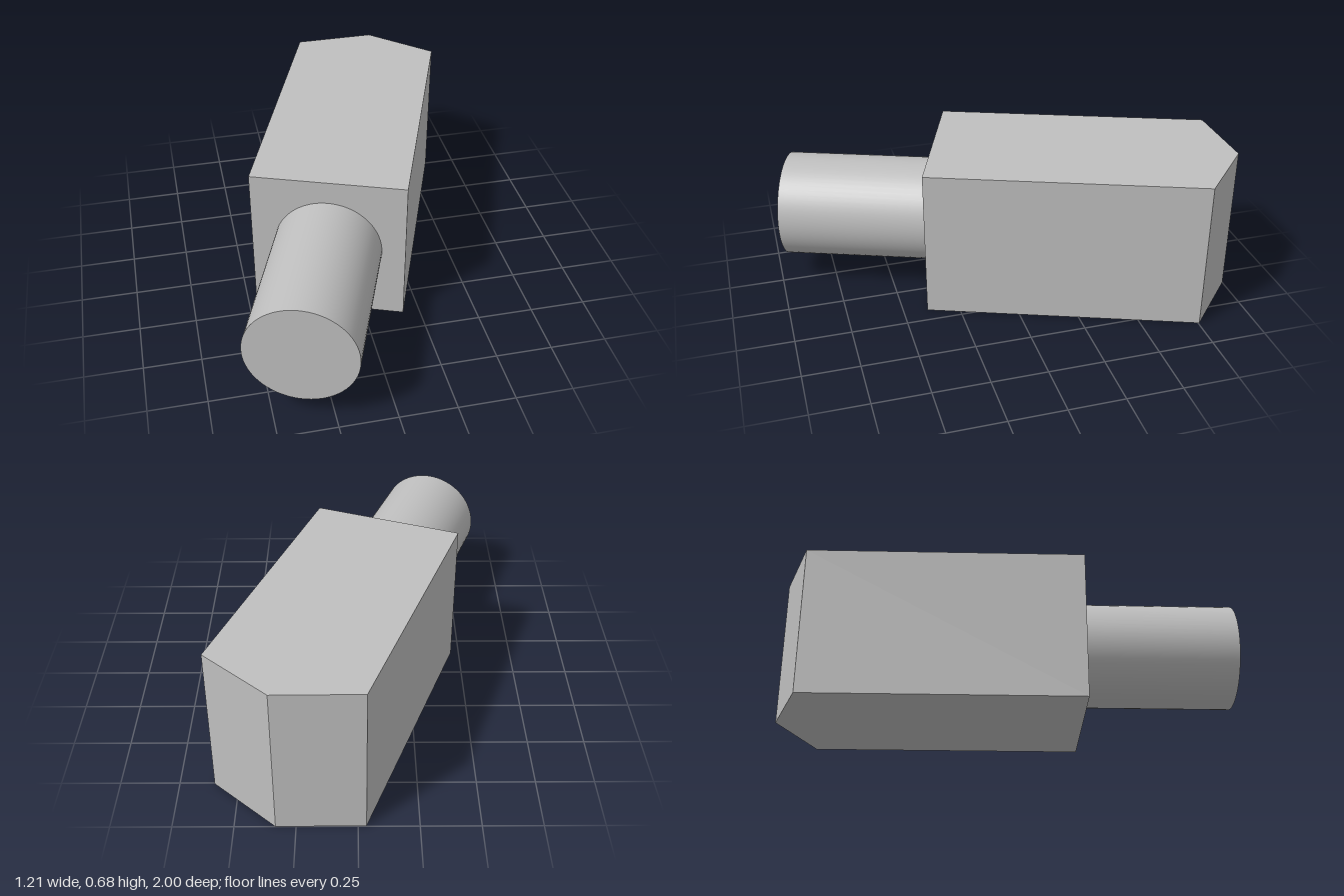
import * as THREE from 'three';

const HEIGHT = 0.683;

export function createModel() {
  const group = new THREE.Group();
  const grey = new THREE.MeshStandardMaterial({ color: 0xbfbfbf });
  grey.name = 'light grey';

  // Block: plan outline (x, z) with an angled back end, extruded upwards
  const outline = [[-0.462, 0.155], [0.175, 0.393], [0.603, -0.755], [0.333, -1], [-0.034, -0.997]];
  const shape = new THREE.Shape(outline.map(([x, z]) => new THREE.Vector2(x, -z)));
  const blockGeometry = new THREE.ExtrudeGeometry(shape, { depth: HEIGHT, bevelEnabled: false });
  blockGeometry.rotateX(-Math.PI / 2);
  const block = new THREE.Mesh(blockGeometry, grey);
  block.name = 'block';
  group.add(block);

  // Round shaft standing square on the front face of the block
  const base = new THREE.Vector3(-0.144, HEIGHT / 2, 0.274);
  const tip = new THREE.Vector3(-0.383, HEIGHT / 2, 0.914);
  const axis = tip.clone().sub(base);
  const shaft = new THREE.Mesh(new THREE.CylinderGeometry(0.237, 0.237, axis.length(), 64), grey);
  shaft.name = 'shaft';
  shaft.position.copy(base).add(tip).multiplyScalar(0.5);
  shaft.quaternion.setFromUnitVectors(new THREE.Vector3(0, 1, 0), axis.normalize());
  group.add(shaft);

  return group;
}
